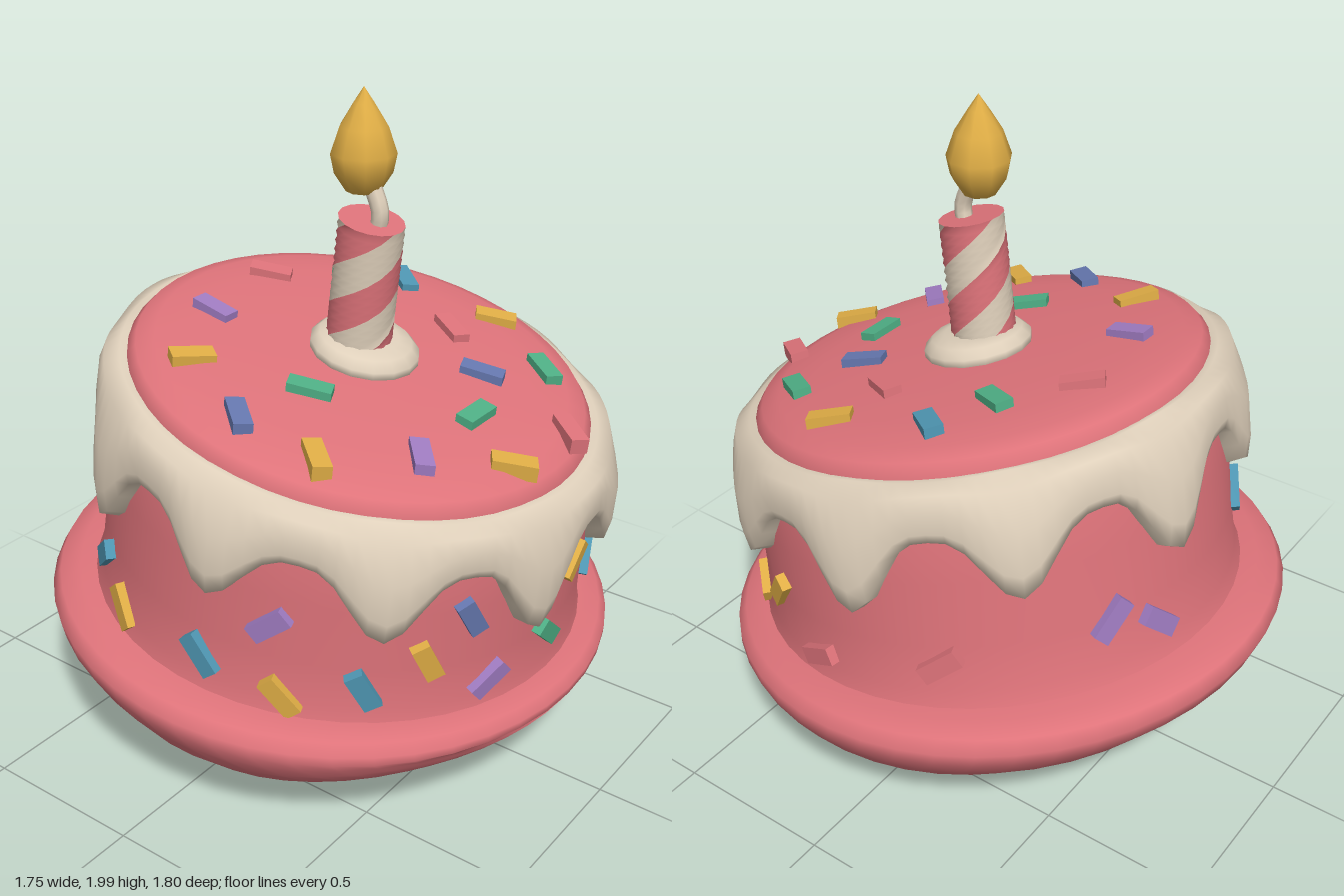
import * as THREE from 'three';

const mat = (name, color) => {
  const m = new THREE.MeshStandardMaterial({ color });
  m.name = name;
  return m;
};

// Surface through rings of points; point(a, j) gives ring j at angle a (0 = front, towards +x)
function loft(point, rings, segs) {
  const pos = [], idx = [];
  for (let j = 0; j < rings; j++)
    for (let i = 0; i < segs; i++) pos.push(...point((i / segs) * Math.PI * 2, j));
  for (let j = 0; j < rings - 1; j++)
    for (let i = 0; i < segs; i++) {
      const k = (i + 1) % segs, p = j * segs, q = p + segs;
      idx.push(p + i, q + i, q + k, p + i, q + k, p + k);
    }
  const g = new THREE.BufferGeometry();
  g.setAttribute('position', new THREE.Float32BufferAttribute(pos, 3));
  g.setIndex(idx);
  g.computeVertexNormals();
  return g;
}

// Lean of the cake: the axis drifts to +x and the layers slope more towards the top (y = 0.7)
function lean(x, y, z) {
  const t = y / 0.7, slope = 0.12 + 0.1 * Math.min(Math.max(t, 0), 1);
  return [0.03 + 0.08 * t + x * 0.98, 0.43 + y - slope * x, z];
}
function leanGeometry(g) {
  const p = g.attributes.position;
  for (let i = 0; i < p.count; i++) p.setXYZ(i, ...lean(p.getX(i), p.getY(i), p.getZ(i)));
  g.computeVertexNormals();
  return g;
}
const turned = (profile, segs) => loft((a, j) => {
  const [r, y] = profile[j];
  return lean(r * Math.sin(a), y, r * Math.cos(a));
}, profile.length, segs);

// Rings as sloped ellipses: [centre x, centre y, radius x, radius z, slope]
const ellipses = (rings, segs) => loft((a, j) => {
  const [cx, cy, rx, rz, s] = rings[j], x = rx * Math.sin(a);
  return [cx + x, cy + s * x, rz * Math.cos(a)];
}, rings.length, segs);

export function createModel() {
  const model = new THREE.Group();
  const pink = mat('pink cake', 0xde737a);
  const cream = mat('cream icing', 0xdfd0bb);
  const gold = mat('gold', 0xe0ae46);
  const blue = mat('blue', 0x4f97b3);
  const slate = mat('slate blue', 0x6678b0);
  const purple = mat('purple', 0xa07cc2);
  const green = mat('green', 0x4fb086);
  const add = (name, geometry, material, parent = model) => {
    const m = new THREE.Mesh(geometry, material);
    m.name = name;
    parent.add(m);
    return m;
  };

  // Cake side, and the raised domed layer on top
  add('cakeBody', turned([[0.7, 0.68], [0.735, 0.6], [0.745, 0.4], [0.75, 0.2], [0.76, 0.06], [0.785, -0.01]], 48), pink);
  add('cakeTop', turned([[0, 0.78], [0.3, 0.777], [0.5, 0.768], [0.62, 0.755], [0.675, 0.735],
    [0.698, 0.705], [0.7, 0.66]], 48), pink);

  // Brim curling under to a tilted opening, and the shallow hollow inside
  const lip = [0.275, 0.138, 0.575, 0.635, 0.228];
  add('brim', ellipses([
    [0.03, 0.45, 0.73, 0.73, -0.12], [0.005, 0.45, 0.79, 0.81, -0.11], [0, 0.435, 0.85, 0.87, -0.1],
    [0, 0.4, 0.872, 0.898, -0.09], [0.01, 0.36, 0.86, 0.895, -0.07], [0.05, 0.305, 0.81, 0.87, -0.01],
    [0.12, 0.235, 0.73, 0.82, 0.08], [0.2, 0.17, 0.645, 0.74, 0.17], lip], 48), pink);
  add('hollow', ellipses([lip, [0.275, 0.16, 0.55, 0.61, 0.228], [0.265, 0.185, 0.45, 0.5, 0.228],
    [0.26, 0.2, 0.25, 0.28, 0.228], [0.26, 0.205, 0, 0, 0]], 48), pink);

  // Icing ring with ten drips of differing length
  const drips = [0.34, 0.365, 0.42, 0.38, 0.36, 0.39, 0.35, 0.38, 0.36, 0.385];
  const icing = [[0.685, 0], [0.72, -0.02], [0.765, 0.09], [0.78, 0.4], [0.785, 0.75], [0.775, 0.94], [0.725, 1]];
  add('icing', loft((a, j) => {
    const u = (a - 0.12) / (Math.PI / 5), k = (Math.round(u) + 10) % 10;
    const drip = Math.pow(0.5 + 0.5 * Math.cos(u * Math.PI * 2), 1.6);
    const depth = 0.155 + (drips[k] - 0.155) * drip;
    const [r0, f] = icing[j];
    const r = r0 + (j > 2 && j < 6 ? 0.03 * drip : 0);
    return lean(r * Math.sin(a), 0.695 - f * depth, r * Math.cos(a));
  }, icing.length, 100), cream);

  // Candle: icing foot, twisted two-colour stick, wick and flame
  const candle = new THREE.Group();
  candle.name = 'candle';
  model.add(candle);
  add('candleFoot', turned([[0, 0.835], [0.1, 0.835], [0.14, 0.825], [0.165, 0.8], [0.165, 0.775], [0.14, 0.755]], 16),
    cream, candle);
  const sides = 16, steps = 16;
  const stick = new THREE.CylinderGeometry(0.098, 0.1, 0.42, sides, steps).translate(0, 0.98, 0);
  const p = stick.attributes.position;
  for (let i = 0; i < p.count; i++) {
    const x = p.getX(i), y = p.getY(i), z = p.getZ(i), w = (y - 0.76) * 14;
    p.setXYZ(i, x * Math.cos(w) + z * Math.sin(w) - 0.015, y, z * Math.cos(w) - x * Math.sin(w) + 0.015);
  }
  stick.clearGroups();
  for (let s = 0; s < sides; s++) stick.addGroup(s * steps * 6, steps * 6, Math.floor(s / 4) % 2);
  stick.addGroup(sides * steps * 6, sides * 6, 0);
  add('candleStick', leanGeometry(stick), [pink, cream], candle);
  add('wick', new THREE.TubeGeometry(new THREE.CatmullRomCurve3([
    new THREE.Vector3(0.165, 1.58, 0.01), new THREE.Vector3(0.18, 1.65, 0.015), new THREE.Vector3(0.15, 1.73, 0.015)]),
    6, 0.026, 8), cream, candle);
  const flame = add('flame', new THREE.LatheGeometry([[0, 0], [0.05, 0.015], [0.085, 0.07], [0.096, 0.125],
    [0.07, 0.2], [0.03, 0.265], [0, 0.31]].map(([x, y]) => new THREE.Vector2(x, y)), 9), gold, candle);
  flame.position.set(0.12, 1.69, 0.015);

  // Sprinkles on the top: [x, z, direction x, direction z, material]
  const sprinkles = new THREE.Group();
  sprinkles.name = 'sprinkles';
  model.add(sprinkles);
  const bar = () => new THREE.BoxGeometry(0.13, 0.056, 0.046).toNonIndexed();
  [[-0.07, -0.48, 12, 9, blue], [0.25, -0.53, 10, -6, gold], [0.51, -0.39, 13, 8, green],
    [-0.17, -0.31, 12, 6, green], [0.41, -0.19, 13, -5, slate], [0.52, 0.02, 0, 13, green],
    [0.71, 0.12, 13, -9, gold], [-0.3, 0.19, 15, 0, purple], [0.15, 0.31, 14, -7, green],
    [0.53, 0.31, 11, 12, purple], [-0.17, 0.44, 8, -12, gold], [0.1, 0.56, 10, 8, slate],
    [0.35, 0.54, 10, 8, gold], [0.21, -0.33, 13, 7, pink], [-0.35, -0.14, 10, -6, pink],
    [0.73, -0.16, 10, 7, pink]].forEach(([x, z, dx, dz, m]) => {
    const lx = (x - 0.115) / 0.98, y = 0.784 - 0.06 * (lx * lx + z * z);
    add('topSprinkle', leanGeometry(bar().rotateX(Math.PI / 2).rotateY(-Math.atan2(dz, dx))
      .translate(lx, y, z)), m, sprinkles);
  });

  // Sprinkles on the side: [angle in degrees, height, tilt in degrees, material]
  [[-58, 0.21, 50, blue], [-34, 0.15, 42, blue], [-21, 0.08, -45, gold], [5, 0.125, -45, blue],
    [20, 0.31, 45, purple], [24, 0.08, -45, gold], [41, 0.14, -58, blue], [54, 0.24, -62, gold],
    [63, 0.38, -60, slate], [70, 0.12, 40, purple], [88, 0.19, -45, green], [98, 0.385, 45, gold],
    [118, 0.22, 50, blue], [136, 0.1, -30, gold], [138, 0.36, -35, purple], [157, 0.23, 50, gold],
    [172, 0.09, 20, pink], [-156, 0.15, 30, pink], [-118, 0.2, 45, purple],
    [-106, 0.13, -40, purple]].forEach(([deg, y, tilt, m]) => {
    const g = bar().rotateZ(THREE.MathUtils.degToRad(tilt)).translate(0, y, 0.763 - 0.05 * y)
      .rotateY(THREE.MathUtils.degToRad(deg));
    add('sideSprinkle', leanGeometry(g), m, sprinkles);
  });

  return model;
}
